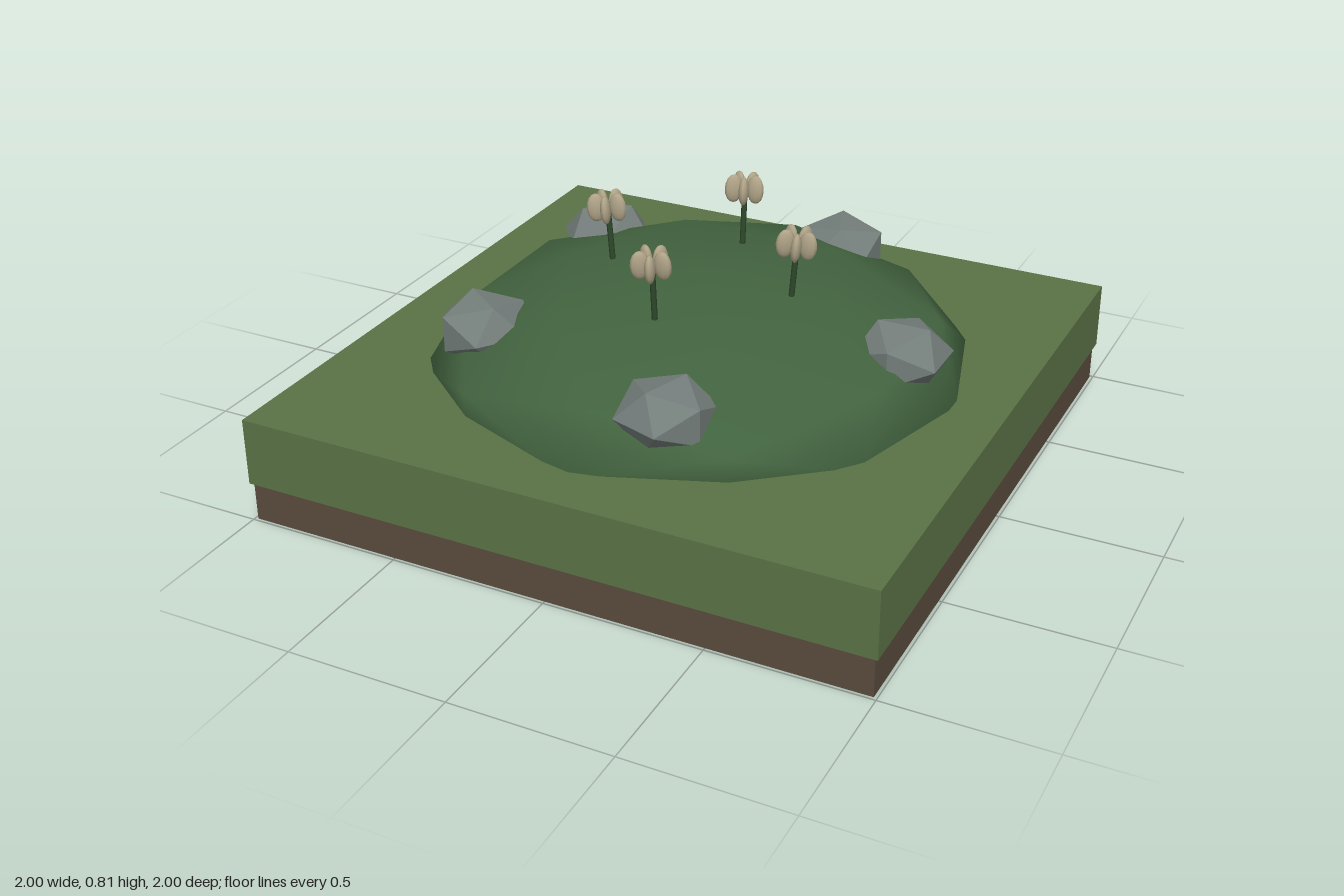
import * as THREE from 'three';

const material = (color, flatShading = false) => {
  const m = new THREE.MeshStandardMaterial({ color });
  m.flatShading = flatShading;
  return m;
};

const soilMat = material(0x5a4a3c);
const grassMat = material(0x5a7245);
const moundMat = material(0x42633f);
const rockMat = material(0x737d7a, true);
const stemMat = material(0x2f4a2c);
const petalMat = material(0xb0a488);

function addMesh(parent, name, geometry, mat, x = 0, y = 0, z = 0) {
  const mesh = new THREE.Mesh(geometry, mat);
  mesh.name = name;
  mesh.position.set(x, y, z);
  parent.add(mesh);
  return mesh;
}

// Stem with a ring of five upright oval petals, origin at the stem's foot
function createFlower() {
  const flower = new THREE.Group();
  flower.name = 'flower';
  const length = 0.2;
  addMesh(flower, 'stem', new THREE.CylinderGeometry(0.009, 0.009, length, 6), stemMat, 0, length / 2, 0);
  const petalGeo = new THREE.SphereGeometry(1, 10, 8);
  for (let i = 0; i < 5; i++) {
    const a = (i / 5) * Math.PI * 2;
    const petal = addMesh(flower, 'petal', petalGeo, petalMat,
      Math.cos(a) * 0.036, length - 0.005, Math.sin(a) * 0.036);
    petal.scale.set(0.029, 0.046, 0.016);
    petal.rotation.y = -a;
  }
  return flower;
}

export function createModel() {
  const model = new THREE.Group();
  model.name = 'flowerMoundTile';

  // Square base: soil under a slightly wider grass slab
  addMesh(model, 'soil', new THREE.BoxGeometry(1.98, 0.13, 1.98), soilMat, 0, 0.065, 0);
  addMesh(model, 'grass', new THREE.BoxGeometry(2, 0.215, 2), grassMat, 0, 0.2325, 0);

  // Flattened mound, sunk to its middle in the grass
  const mound = addMesh(model, 'mound', new THREE.IcosahedronGeometry(0.855, 1), moundMat, 0, 0.32, 0);
  mound.scale.y = 0.3 / 0.855;

  // Five rocks around the slope
  const rockGeo = new THREE.IcosahedronGeometry(0.155, 0);
  for (let i = 0; i < 5; i++) {
    const a = (i / 5) * Math.PI * 2;
    const rock = addMesh(model, 'rock', rockGeo, rockMat,
      Math.cos(a) * 0.667, 0.478, Math.sin(a) * 0.667);
    rock.scale.y = 0.7;
    rock.rotation.y = a;
  }

  // Four flowers leaning slightly outward
  for (let i = 0; i < 4; i++) {
    const a = (i / 4) * Math.PI * 2;
    const flower = createFlower();
    flower.position.set(Math.cos(a) * 0.304, 0.57, Math.sin(a) * 0.304);
    flower.rotation.set(Math.sin(a) * 0.08, 0, -Math.cos(a) * 0.08);
    model.add(flower);
  }
  return model;
}
